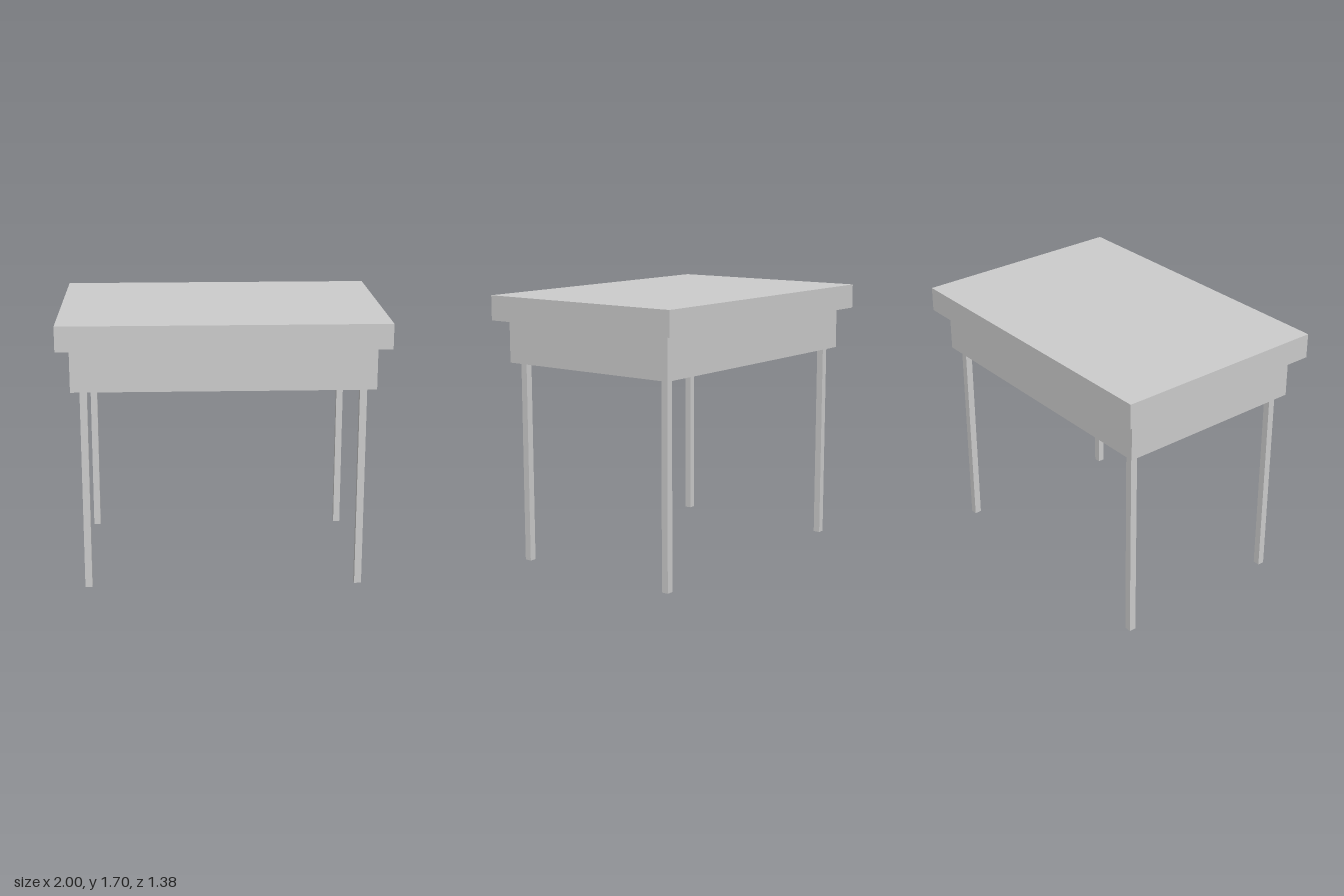
import * as THREE from 'three';

const material = new THREE.MeshStandardMaterial({ color: 0xcccccc, flatShading: true });

// Box standing between two heights, centred on x, z
function slab(name, width, depth, bottom, top, x = 0, z = 0) {
  const mesh = new THREE.Mesh(new THREE.BoxGeometry(width, top - bottom, depth), material);
  mesh.name = name;
  mesh.position.set(x, (bottom + top) / 2, z);
  return mesh;
}

export function createModel() {
  const table = new THREE.Group();
  table.name = 'table';

  // Thick top overhanging a solid apron
  table.add(slab('tableTop', 2, 1.385, 1.54, 1.695));
  table.add(slab('apron', 1.845, 1.235, 1.275, 1.54));

  // Four slim square legs, set in from the apron corners
  for (const [side, sx] of [['Left', 1], ['Right', -1]]) {
    for (const [end, sz] of [['front', 1], ['back', -1]]) {
      table.add(slab(`${end}${side}Leg`, 0.044, 0.044, 0, 1.275, sx * 0.847, sz * 0.554));
    }
  }
  return table;
}
